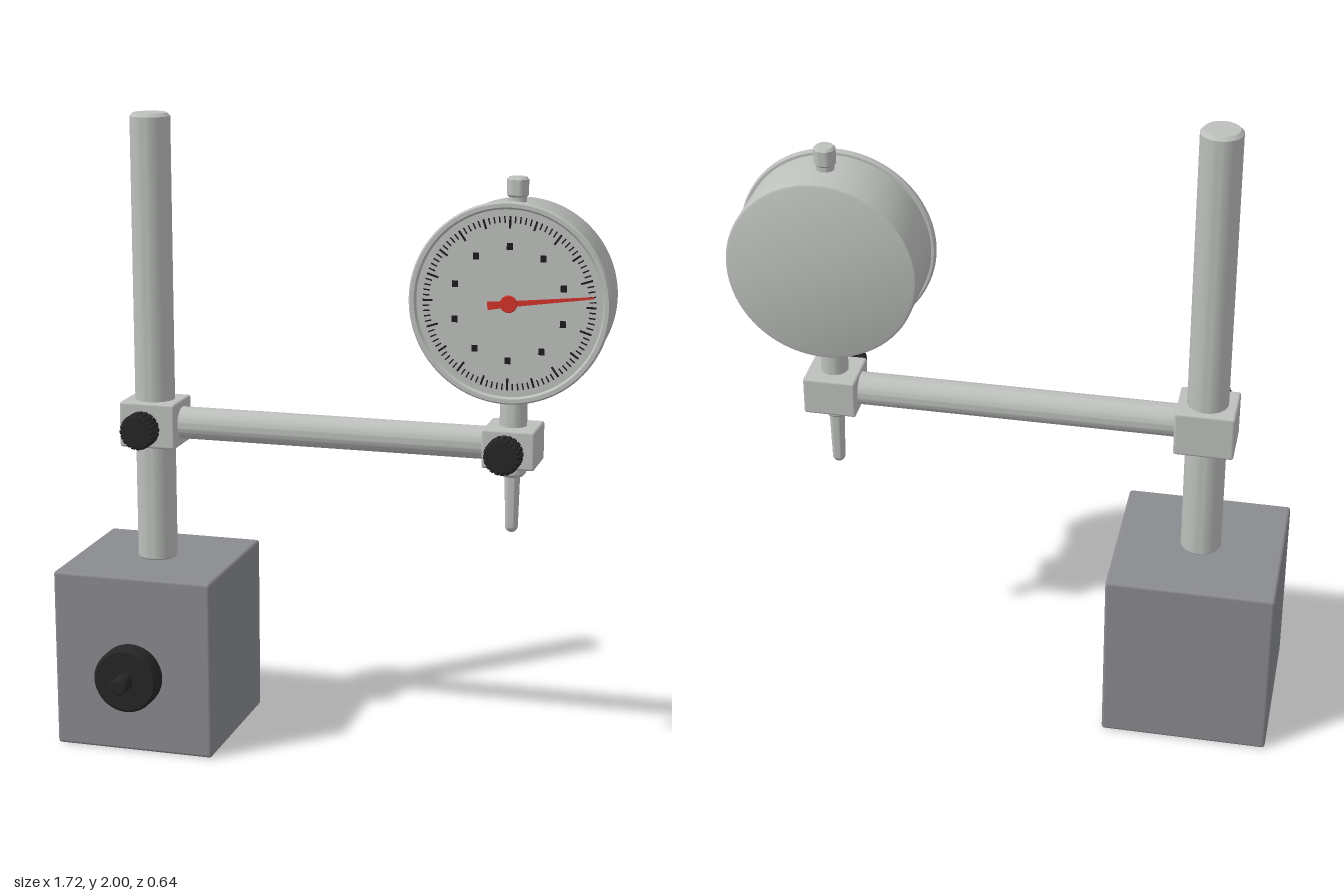
import * as THREE from 'three';
import { toCreasedNormals } from 'three/addons/utils/BufferGeometryUtils.js';
import { RoundedBoxGeometry } from 'three/addons/geometries/RoundedBoxGeometry.js';

const material = (name, color) => {
  const m = new THREE.MeshStandardMaterial({ color });
  m.name = name;
  return m;
};

export function createModel() {
  const steel = material('satin steel', 0xbcbfbc);
  const iron = material('grey base', 0x8a8b90);
  const black = material('black knob', 0x262626);
  const ink = material('dial ink', 0x1c1c1c);
  const red = material('red pointer', 0xd2322a);

  const model = new THREE.Group();
  model.name = 'dialGaugeStand';

  const POST_X = -0.603, GAUGE_X = 0.556, Z = -0.06;
  const ARM_Y = 1.023, DIAL_Y = 1.477;

  const add = (parent, name, geometry, mat, x = 0, y = 0, z = 0) => {
    const mesh = new THREE.Mesh(geometry, mat);
    mesh.name = name;
    mesh.position.set(x, y, z);
    parent.add(mesh);
    return mesh;
  };

  // Turned part: [radius, height] pairs from bottom to top
  const turned = (profile, segments = 48) => toCreasedNormals(
    new THREE.LatheGeometry(profile.map(([r, h]) => new THREE.Vector2(r, h)), segments), 0.6);

  // Plain rod with chamfered ends
  const rod = (r, a, b, c = 0.008) =>
    turned([[0, a], [r - c, a], [r, a + c], [r, b - c], [r - c, b], [0, b]]);

  // Knob with a fluted rim, extruded along z from 0 to depth
  const fluted = (r, teeth, flute, depth) => {
    const bevel = 0.006, pts = [];
    for (let i = 0; i < teeth * 4; i++) {
      const a = (i / (teeth * 4)) * Math.PI * 2;
      const rad = r - bevel - (i % 4 < 2 ? 0 : flute);
      pts.push(new THREE.Vector2(Math.cos(a) * rad, Math.sin(a) * rad));
    }
    const g = new THREE.ExtrudeGeometry(new THREE.Shape(pts), {
      depth: depth - 2 * bevel, bevelThickness: bevel, bevelSize: bevel, bevelSegments: 1,
    });
    return g.translate(0, 0, bevel);
  };

  // Base block with its switch knob
  add(model, 'base', new RoundedBoxGeometry(0.52, 0.575, 0.52, 2, 0.01), iron, POST_X + 0.002, 0.2875, Z);
  const baseKnob = new THREE.Group();
  baseKnob.name = 'baseKnob';
  baseKnob.position.set(POST_X, 0.255, 0.198);
  model.add(baseKnob);
  add(baseKnob, 'knobDisc', rod(0.104, 0, 0.068, 0.008), black).rotation.x = Math.PI / 2;
  add(baseKnob, 'knobStem', rod(0.027, 0.06, 0.127, 0.005), black).rotation.x = Math.PI / 2;

  // Post and cross arm
  add(model, 'post', rod(0.063, 0.57, 2, 0.01), steel, POST_X, 0, Z);
  add(model, 'crossArm', rod(0.051, POST_X + 0.06, GAUGE_X - 0.06), steel, 0, ARM_Y, Z).rotation.z = -Math.PI / 2;

  // Clamps with thumb screws
  for (const [name, x, w, h] of [['postClamp', POST_X, 0.183, 0.146], ['gaugeClamp', GAUGE_X, 0.164, 0.122]]) {
    const clamp = new THREE.Group();
    clamp.name = name;
    clamp.position.set(x, ARM_Y, Z);
    model.add(clamp);
    add(clamp, 'clampBlock', new RoundedBoxGeometry(w, h, 0.165, 2, 0.008), steel);
    add(clamp, 'screwShank', rod(0.024, 0.07, 0.13, 0.003), black).rotation.x = Math.PI / 2;
    add(clamp, 'thumbScrew', fluted(0.057, 20, 0.006, 0.06), black, 0, 0, 0.117);
  }

  // Gauge stem, collar, plunger and top cap
  add(model, 'gaugeStem', rod(0.042, 1.06, 1.22), steel, GAUGE_X, 0, Z);
  add(model, 'stemCollar', rod(0.042, 0.925, 0.98, 0.01), steel, GAUGE_X, 0, Z);
  const tip = [];
  for (let i = 0; i <= 6; i++) {
    const a = (i / 6) * Math.PI / 2;
    tip.push([0.02 * Math.sin(a), 0.765 - 0.02 * Math.cos(a)]);
  }
  add(model, 'plunger', turned([...tip, [0.024, 0.94], [0, 0.94]], 32), steel, GAUGE_X, 0, Z);
  add(model, 'capStem', rod(0.027, 1.75, 1.8, 0.003), steel, GAUGE_X, 0, Z);
  add(model, 'topCap', rod(0.033, 1.782, 1.842, 0.007), steel, GAUGE_X, 0, Z);

  // Gauge housing: closed drum with a raised bezel around the dial
  const gauge = new THREE.Group();
  gauge.name = 'gauge';
  gauge.position.set(GAUGE_X, DIAL_Y, 0);
  model.add(gauge);
  add(gauge, 'housing', turned([
    [0, -0.172], [0.282, -0.172], [0.289, -0.169], [0.292, -0.162], [0.292, 0.034], [0, 0.034],
  ], 96), steel).rotation.x = Math.PI / 2;
  add(gauge, 'bezelAndDial', turned([
    [0.288, 0.032], [0.3, 0.032], [0.305, 0.037], [0.305, 0.049], [0.3, 0.055],
    [0.288, 0.055], [0.282, 0.047], [0, 0.047],
  ], 96), steel).rotation.x = Math.PI / 2;

  // Dial graduations: 100 divisions, longer at every fifth and tenth
  const DIAL_Z = 0.0475;
  for (let i = 0; i < 100; i++) {
    const a = (i / 100) * Math.PI * 2;
    const length = i % 10 === 0 ? 0.036 : i % 5 === 0 ? 0.03 : 0.02;
    const r = 0.262 - length / 2;
    const tick = add(gauge, 'graduation', new THREE.BoxGeometry(i % 5 ? 0.004 : 0.006, length, 0.002), ink,
      Math.sin(a) * r, Math.cos(a) * r, DIAL_Z);
    tick.rotation.z = -a;
  }

  // Small pips marking each tenth
  for (let i = 0; i < 10; i++) {
    const a = (i / 10) * Math.PI * 2;
    add(gauge, 'tenthPip', new THREE.BoxGeometry(0.018, 0.02, 0.002), ink,
      Math.sin(a) * 0.172, Math.cos(a) * 0.172, DIAL_Z);
  }

  // Tapered pointer with hub
  const pointer = new THREE.Group();
  pointer.name = 'pointer';
  pointer.position.z = 0.05;
  pointer.rotation.z = 0.12;
  gauge.add(pointer);
  const blade = new THREE.Shape([[-0.064, -0.013], [0, -0.009], [0.256, -0.003], [0.256, 0.003], [0, 0.009], [-0.064, 0.013]]
    .map(([x, y]) => new THREE.Vector2(x, y)));
  add(pointer, 'pointerBlade', new THREE.ExtrudeGeometry(blade, { depth: 0.004, bevelEnabled: false }), red);
  add(pointer, 'pointerHub', rod(0.026, -0.003, 0.006, 0.002), red).rotation.x = Math.PI / 2;

  return model;
}
